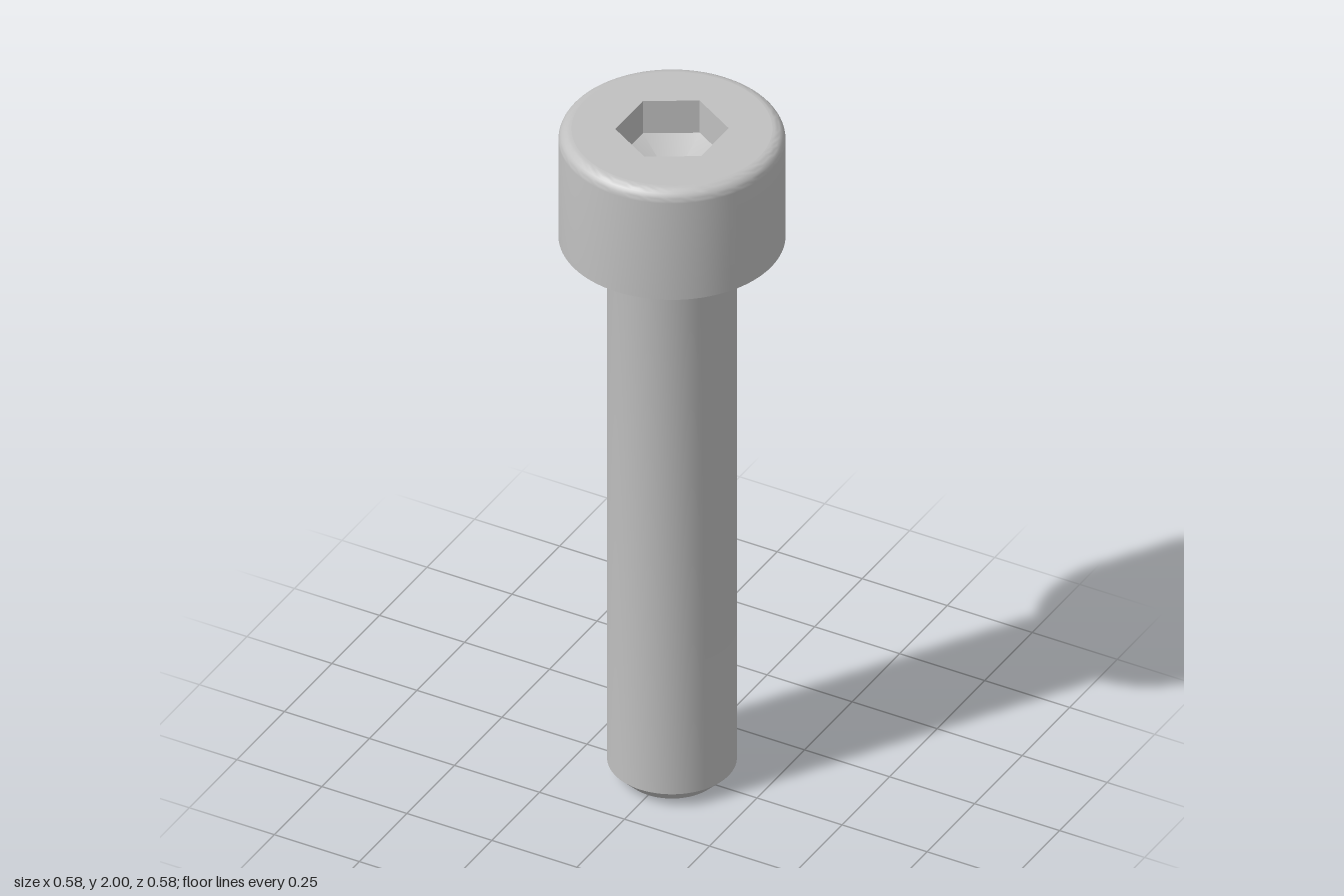
import * as THREE from 'three';
import { toCreasedNormals } from 'three/addons/utils/BufferGeometryUtils.js';

const SEGMENTS = 96;
const CREASE = Math.PI / 6;
const HEAD_R = 0.2917, SHANK_R = 0.1667, SOCKET_R = 0.1455;
const HEAD_BOTTOM = 1.6667, TOP = 2;
const EDGE = 0.034, FILLET = 0.0167, CHAMFER = 0.042;

// Points along a circular arc of the profile
function arc(cx, cy, r, from, to, steps = 8) {
  return Array.from({ length: steps + 1 }, (_, i) => {
    const a = from + (to - from) * i / steps;
    return [cx + r * Math.cos(a), cy + r * Math.sin(a)];
  });
}

// Turned surface; a rising profile faces outward, a falling one inward
function turned(profile, segments) {
  const points = profile.map(([r, y]) => new THREE.Vector2(r, y));
  return toCreasedNormals(new THREE.LatheGeometry(points, segments), CREASE);
}

export function createModel() {
  const group = new THREE.Group();
  group.name = 'socketHeadScrew';
  const steel = new THREE.MeshStandardMaterial({ color: 0xc0c0c0 });
  steel.name = 'steel grey';
  const add = (name, geometry) => {
    const mesh = new THREE.Mesh(geometry, steel);
    mesh.name = name;
    group.add(mesh);
    return mesh;
  };

  // Shank with chamfered tip and small fillet under the head
  add('shank', turned([
    [0, 0], [SHANK_R - CHAMFER, 0], [SHANK_R, CHAMFER],
    ...arc(SHANK_R + FILLET, HEAD_BOTTOM - FILLET, FILLET, Math.PI, Math.PI / 2, 6),
  ], SEGMENTS));

  // Cylindrical head with rounded top edge
  add('head', turned([
    [SHANK_R + FILLET, HEAD_BOTTOM], [HEAD_R, HEAD_BOTTOM],
    ...arc(HEAD_R - EDGE, TOP - EDGE, EDGE, 0, Math.PI / 2),
  ], SEGMENTS));

  // Flat top face with hexagonal opening
  const ring = (r, n) => Array.from({ length: n }, (_, i) => {
    const a = i * Math.PI * 2 / n;
    return new THREE.Vector2(r * Math.sin(a), r * Math.cos(a));
  });
  const face = new THREE.Shape(ring(HEAD_R - EDGE, SEGMENTS));
  face.holes.push(new THREE.Path(ring(SOCKET_R, 6)));
  add('headTop', new THREE.ShapeGeometry(face).rotateX(-Math.PI / 2)).position.y = TOP;

  // Hexagonal socket with pointed floor
  add('hexSocket', turned([[SOCKET_R, TOP], [SOCKET_R, 1.9], [0, 1.833]], 6));

  return group;
}
